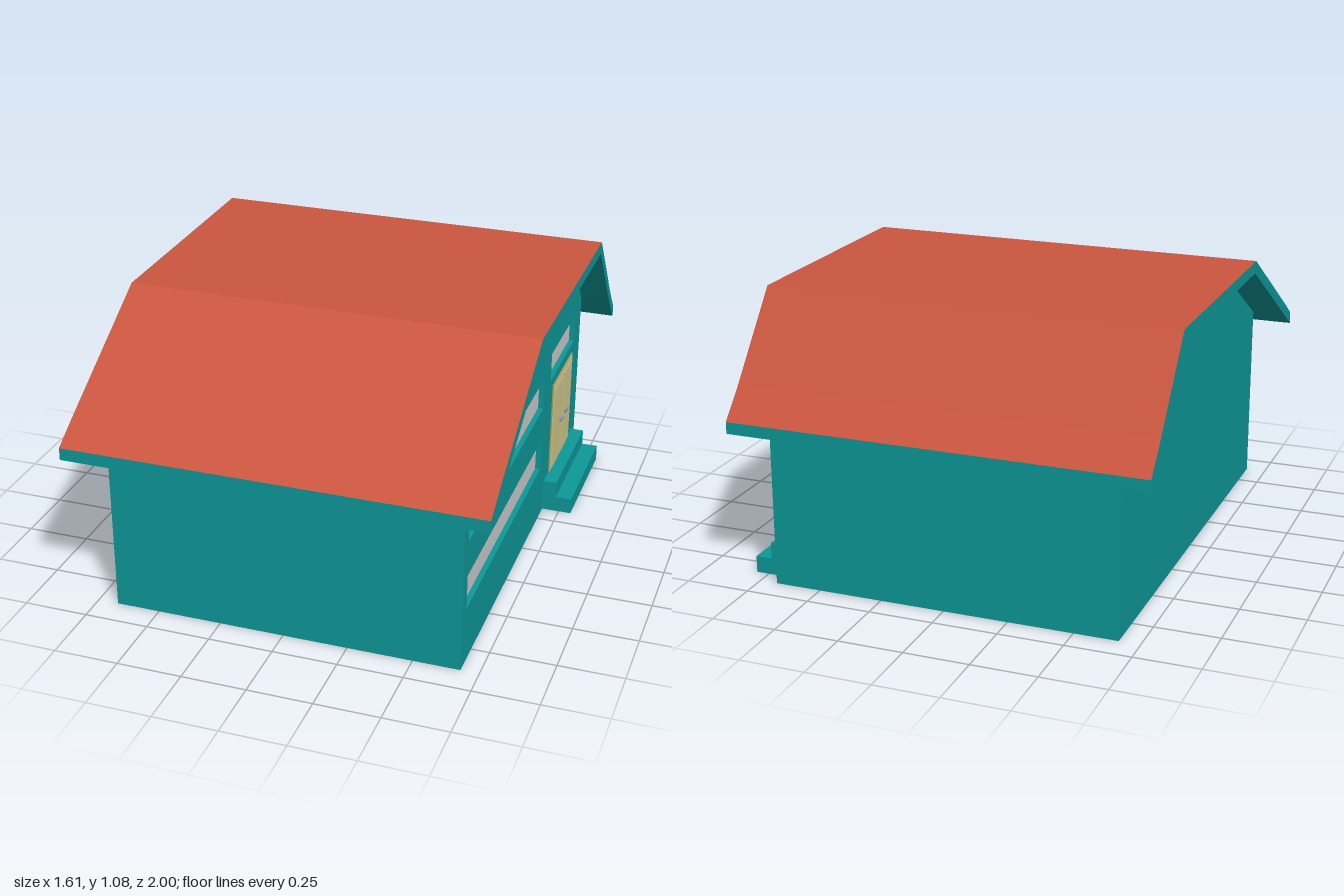
import * as THREE from 'three';

const mat = (name, color) => {
  const m = new THREE.MeshStandardMaterial({ color });
  m.name = name;
  return m;
};

export function createModel() {
  const house = new THREE.Group();
  house.name = 'house';
  const teal = mat('teal plaster', 0x0e9999);
  const red = mat('red roofing', 0xca5640);
  const grey = mat('window grey', 0xcccccc);
  const tan = mat('door tan', 0xcfc78c);
  const trim = mat('door trim', 0xb89a5c);
  const metal = mat('handle metal', 0x9a98a8);

  const add = (name, geometry, material, parent = house) => {
    const mesh = new THREE.Mesh(geometry, material);
    mesh.name = name;
    parent.add(mesh);
    return mesh;
  };
  // Box given by its x, y and z ranges
  const box = (name, [x0, x1], [y0, y1], [z0, z1], material, parent) =>
    add(name, new THREE.BoxGeometry(x1 - x0, y1 - y0, z1 - z0), material, parent)
      .position.set((x0 + x1) / 2, (y0 + y1) / 2, (z0 + z1) / 2);
  // Side profile of [z, y] points, extruded along x
  const points = (list) => list.map(([z, y]) => new THREE.Vector2(-z, y));
  const extrude = (profile, x0, x1, holes = []) => {
    const shape = new THREE.Shape(points(profile));
    for (const h of holes) shape.holes.push(new THREE.Path(points(h)));
    return new THREE.ExtrudeGeometry(shape, { depth: x1 - x0, bevelEnabled: false })
      .rotateY(Math.PI / 2).translate(x0, 0, 0);
  };

  // Walls: solid body plus an outer skin holding the window openings
  const gable = [[0.89, 0], [-0.9, 0], [-0.9, 0.73], [-0.648, 1.045], [0.338, 1.045], [0.89, 0.725]];
  const windows = [
    { z: [-0.26, 0.83], y: [0.225, 0.36] },
    { z: [-0.26, 0.83], y: [0.5, 0.635] },
    { z: [-0.79, -0.375], y: [0.57, 0.69] },
  ];
  const openings = windows.map(({ z, y }) =>
    [[z[0], y[0]], [z[0], y[1]], [z[1], y[1]], [z[1], y[0]]]);
  add('walls', extrude(gable, -0.67, 0.655), teal);
  add('windowWall', extrude(gable, 0.655, 0.68, openings), teal);
  for (const { z, y } of windows) box('windowPane', [0.652, 0.659], y, z, grey);

  // Roof band: upward faces red, edges and soffit teal
  const roof = extrude([
    [1, 0.698], [0.89, 0.765], [0.345, 1.082], [-0.65, 1.082], [-0.905, 0.765], [-1, 0.66],
    [-1, 0.615], [-0.9, 0.72], [-0.645, 1.035], [0.335, 1.035], [0.89, 0.715], [1, 0.65],
  ], -0.805, 0.8);
  roof.clearGroups();
  const normal = roof.attributes.normal;
  for (let i = 0; i < normal.count; i += 3) roof.addGroup(i, 3, normal.getY(i) > 0.3 ? 1 : 0);
  add('roof', roof, [teal, red]);

  // Entrance steps
  box('lowerStep', [0.67, 0.8], [0, 0.065], [-0.835, -0.335], teal);
  box('upperStep', [0.67, 0.735], [0.065, 0.13], [-0.835, -0.335], teal);

  // Double door: trim backing, two leaves with raised panels, handles
  const door = new THREE.Group();
  door.name = 'doubleDoor';
  house.add(door);
  const middle = -0.586;
  box('doorFrame', [0.675, 0.684], [0.13, 0.53], [-0.756, -0.416], trim, door);
  for (const s of [-1, 1]) {
    const span = (a, b) => [middle + s * a, middle + s * b].sort((p, q) => p - q);
    box('doorLeaf', [0.68, 0.687], [0.134, 0.524], span(0.003, 0.164), tan, door);
    box('doorPanel', [0.684, 0.69], [0.15, 0.508], span(0.016, 0.15), tan, door);
    box('handlePost', [0.686, 0.695], [0.316, 0.328], span(0.026, 0.036), metal, door);
    box('handleLever', [0.693, 0.702], [0.315, 0.329], span(0.026, 0.06), metal, door);
  }
  return house;
}
